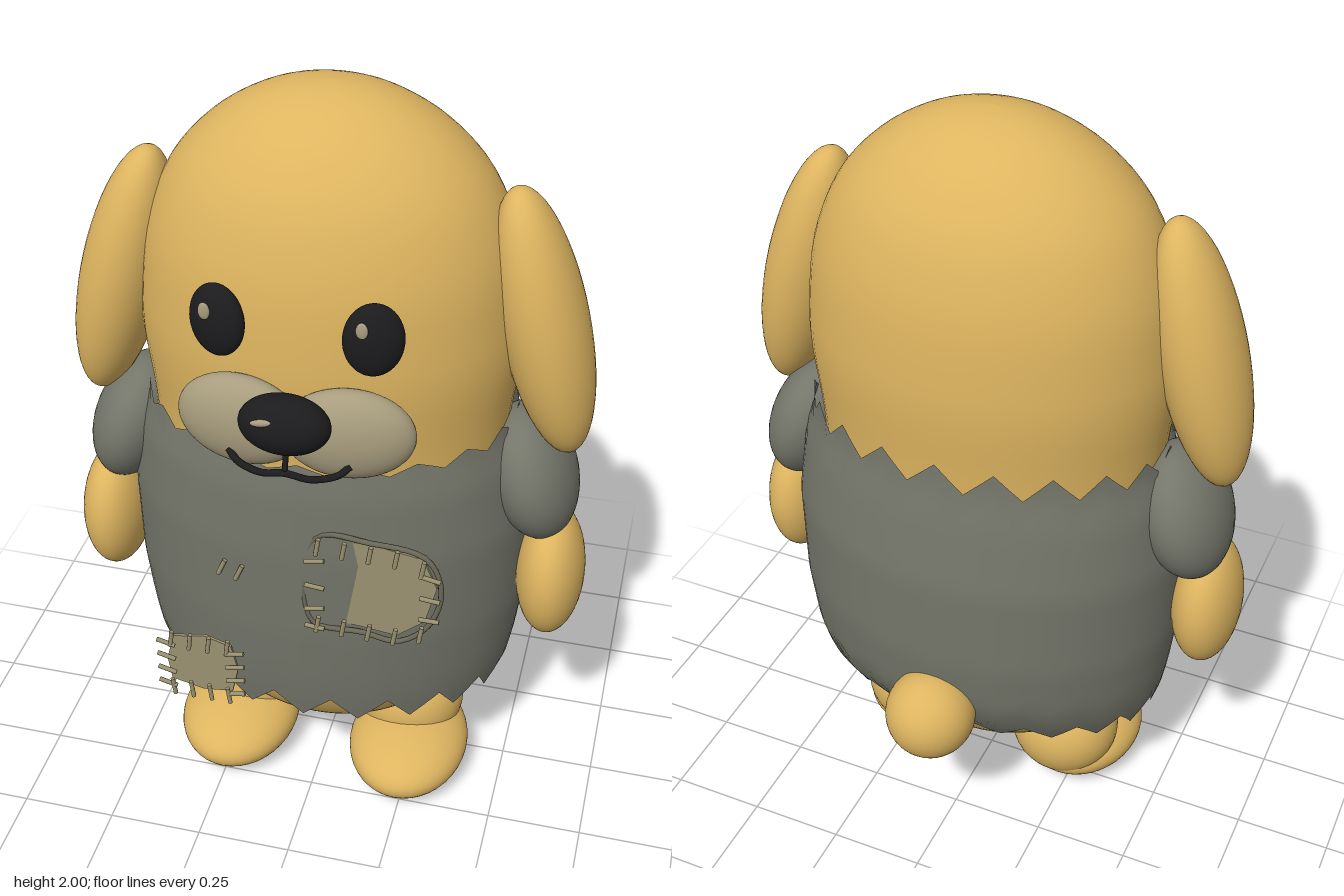
import * as THREE from 'three';

const mat = (name, color, side = THREE.FrontSide) => {
  const m = new THREE.MeshStandardMaterial({ color, side });
  m.name = name;
  return m;
};

export function createModel() {
  const fur = mat('golden fur', 0xdeb560);
  const cloth = mat('grey cloth', 0x74766a, THREE.DoubleSide);
  const muzzleTan = mat('muzzle tan', 0xa89d7e);
  const patchTan = mat('patch tan', 0x9a9170);
  const black = mat('black', 0x1c1c1e);
  const seam = mat('seam grey', 0x6a6857);

  const model = new THREE.Group();
  const add = (name, geo, material, pos = [0, 0, 0], rot = [0, 0, 0]) => {
    const mesh = new THREE.Mesh(geo, material);
    mesh.name = name;
    mesh.position.set(...pos);
    mesh.rotation.set(...rot);
    model.add(mesh);
    return mesh;
  };
  const ball = (name, material, pos, radii, rot) =>
    add(name, new THREE.SphereGeometry(1, 40, 28).scale(...radii), material, pos, rot);

  // Body and head: one egg-shaped lathe, flattened front to back
  const profile = new THREE.SplineCurve([
    [0, 0.13], [0.11, 0.15], [0.21, 0.2], [0.3, 0.27], [0.37, 0.36], [0.42, 0.48], [0.445, 0.7],
    [0.445, 1.0], [0.452, 1.18], [0.47, 1.35], [0.468, 1.47], [0.446, 1.63], [0.385, 1.78],
    [0.295, 1.885], [0.19, 1.955], [0.09, 1.99], [0, 2],
  ].map(([x, y]) => new THREE.Vector2(x, y))).getPoints(64);
  profile.forEach(p => { p.x = Math.max(0, p.x); });
  add('body', new THREE.LatheGeometry(profile, 64).scale(1, 1, 0.74), fur, [0, 0, 0.01]);

  // Shirt: loops of height, half width, front depth, back depth
  const rings = [
    [0.34, 0.465, 0.325, 0.28], [0.42, 0.49, 0.34, 0.335], [0.5, 0.503, 0.35, 0.37],
    [0.65, 0.52, 0.363, 0.388], [0.9, 0.525, 0.371, 0.388], [1.08, 0.5, 0.365, 0.36],
    [1.17, 0.468, 0.35, 0.34], [1.26, 0.47, 0.358, 0.335],
  ];
  const ringAt = y => {
    let i = 0;
    while (i < rings.length - 2 && y > rings[i + 1][0]) i++;
    const t = (y - rings[i][0]) / (rings[i + 1][0] - rings[i][0]);
    return rings[i].map((v, k) => v + (rings[i + 1][k] - v) * t);
  };
  const teeth = 20, cols = teeth * 4, rows = 24;
  const pos = [], idx = [];
  for (let r = 0; r <= rows; r++) {
    for (let c = 0; c <= cols; c++) {
      const a = (c / cols) * Math.PI * 2;
      const zig = Math.abs(((c / 4) % 1) * 2 - 1); // 1 at a tooth tip, 0 in a notch
      const back = (1 - Math.cos(a)) / 2;
      const low = 0.42 - 0.075 * zig;
      const high = 1.165 + 0.04 * back + (zig - 0.5) * (0.022 + 0.045 * back);
      const y = low + (high - low) * (r / rows);
      const [, w, front, rear] = ringAt(y);
      pos.push(Math.sin(a) * w, y, Math.cos(a) * (Math.cos(a) > 0 ? front : rear));
      if (r < rows && c < cols) {
        const i = r * (cols + 1) + c, j = i + cols + 1;
        idx.push(i, i + 1, j, i + 1, j + 1, j);
      }
    }
  }
  const shirt = new THREE.BufferGeometry();
  shirt.setAttribute('position', new THREE.Float32BufferAttribute(pos, 3));
  shirt.setIndex(idx);
  shirt.computeVertexNormals();
  add('shirt', shirt, cloth);

  // Paired parts
  for (const s of [1, -1]) {
    const side = s > 0 ? 'left' : 'right';
    ball(side + 'Ear', fur, [s * 0.52, 1.455, 0.037], [0.105, 0.355, 0.129], [0, 0, s * 0.25]);
    ball(side + 'Sleeve', cloth, [s * 0.52, 1.02, 0.017], [0.108, 0.182, 0.162], [0, 0, s * 0.33]);
    ball(side + 'Hand', fur, [s * 0.587, 0.735, 0.042], [0.088, 0.186, 0.138], [0, 0, s * 0.03]);
    ball(side + 'Leg', fur, [s * 0.225, 0.185, 0], [0.15, 0.15, 0.143]);
    ball(side + 'Foot', fur, [s * 0.244, 0.095, 0.1], [0.163, 0.092, 0.21], [0.05, 0, 0]);
    ball(side + 'Eye', black, [s * 0.18, 1.55, 0.352], [0.07, 0.09, 0.034], [-0.05, s * 0.25, 0]);
    ball(side + 'EyeGlint', muzzleTan, [s * 0.18 - 0.02, 1.587, 0.383], [0.014, 0.022, 0.006]);
    ball(side + 'Muzzle', muzzleTan, [s * 0.128, 1.3, 0.367], [0.157, 0.118, 0.06], [0, s * 0.12, 0]);
  }
  ball('tail', fur, [0, 0.48, -0.393], [0.117, 0.12, 0.118]);

  // Nose and mouth
  ball('nose', black, [0, 1.36, 0.449], [0.108, 0.074, 0.062]);
  ball('noseGlint', muzzleTan, [-0.04, 1.39, 0.5], [0.026, 0.009, 0.007], [0, 0, 0.15]);
  const tube = (name, pts, r, material, closed = false) => add(name, new THREE.TubeGeometry(
    new THREE.CatmullRomCurve3(pts.map(p => new THREE.Vector3(...p)), closed), 48, r, 8, closed), material);
  tube('mouth', [[-0.145, 1.245, 0.415], [-0.12, 1.225, 0.43], [-0.06, 1.217, 0.45], [0, 1.228, 0.455],
    [0.06, 1.217, 0.45], [0.12, 1.225, 0.43], [0.145, 1.245, 0.415]], 0.009, black);
  tube('mouthLine', [[0, 1.3, 0.44], [0, 1.26, 0.447], [0, 1.225, 0.455]], 0.007, black);

  // Flat cloth patches
  const patch = (name, pts, z) => add(name, new THREE.ExtrudeGeometry(
    new THREE.Shape(pts.map(p => new THREE.Vector2(...p))), { depth: 0.008, bevelEnabled: false }),
  patchTan, [0, 0, z]);
  const chest = [[0.05, 0.72], [0.17, 0.71], [0.25, 0.7], [0.32, 0.76], [0.347, 0.87], [0.31, 0.955],
    [0.18, 0.975], [0.06, 0.97]];
  patch('chestPatch', chest, 0.347);
  tube('chestPatchSeam', chest.map(([x, y]) => [0.2 + (x - 0.2) * 1.08, 0.84 + (y - 0.84) * 1.08, 0.362]),
    0.007, seam, true);
  patch('hemPatch', [[-0.345, 0.43], [-0.26, 0.41], [-0.18, 0.42], [-0.163, 0.5], [-0.18, 0.575],
    [-0.25, 0.597], [-0.335, 0.58], [-0.355, 0.5]], 0.357);

  // Stitches: x, y, angle from upright
  const stitchGeo = new THREE.CylinderGeometry(0.006, 0.006, 0.05, 8);
  const stitch = (x, y, a, z = 0.383) => add('stitch', stitchGeo, patchTan, [x, y, z], [0, 0, a]);
  for (let i = 0; i < 5; i++) {
    const x = 0.055 + i * 0.065;
    stitch(x, 0.965 - (i === 4 ? 0.02 : 0), -0.15);
    stitch(x, 0.72 + (i === 4 ? 0.02 : 0), -0.15);
  }
  [0.92, 0.84, 0.77, 0.71].forEach((y, i) => stitch(0.048, y, Math.PI / 2 + (i % 2 ? -0.1 : 0.2)));
  [0.92, 0.855, 0.79].forEach((y, i) => stitch(0.335, y, Math.PI / 2 - 0.2 + i * 0.1));
  for (let i = 0; i < 4; i++) {
    const t = i * 0.05;
    stitch(-0.335 + t, 0.585, -0.12);
    stitch(-0.335 + t, 0.42, 0.12);
    stitch(-0.35, 0.43 + t * 0.93, Math.PI / 2 - 0.25);
    stitch(-0.165, 0.43 + t * 0.93, Math.PI / 2 + 0.2);
  }
  stitch(-0.2, 0.825, -0.4, 0.348);
  stitch(-0.152, 0.825, -0.4, 0.36);

  return model;
}
